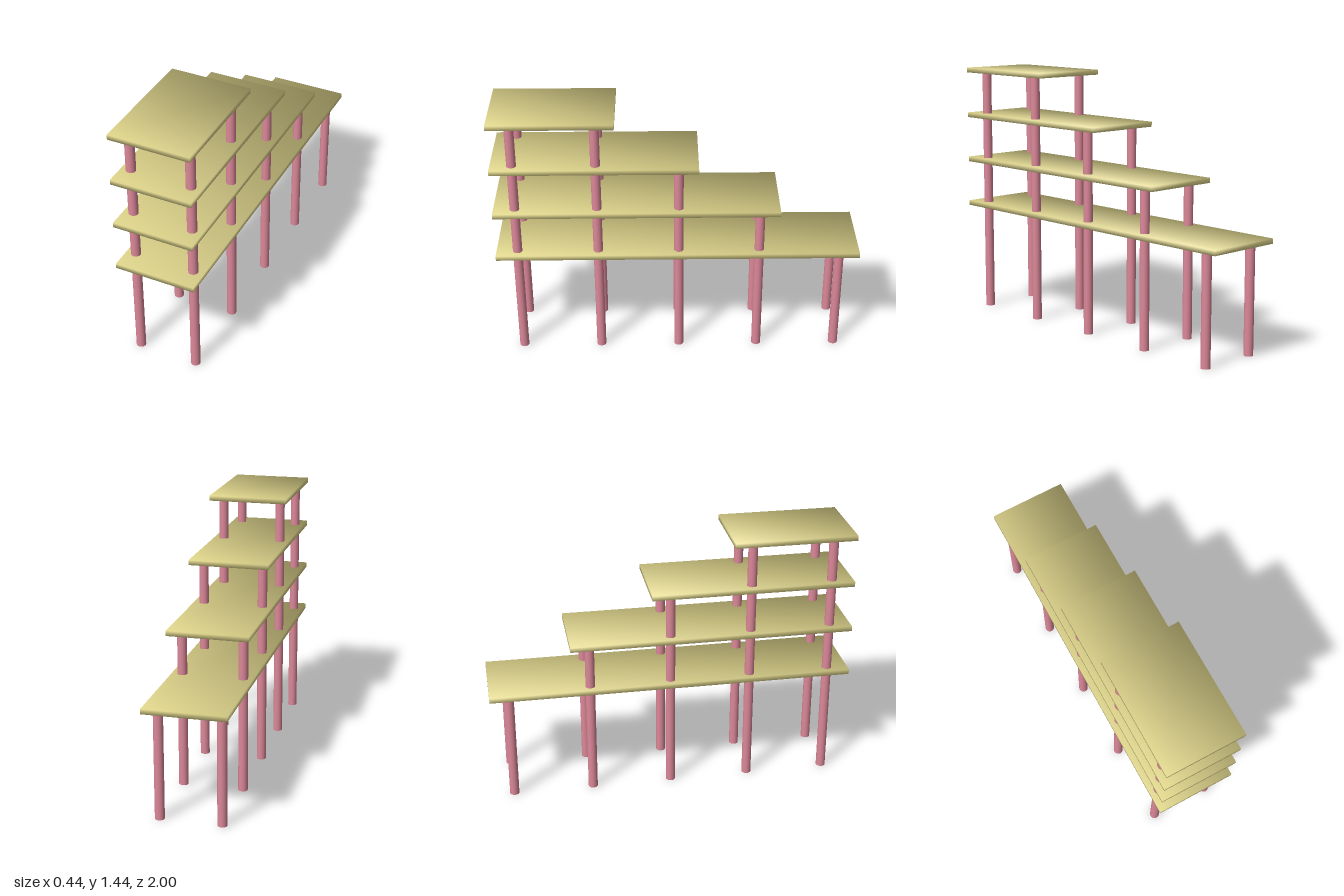
import * as THREE from 'three';

const shelfMaterial = new THREE.MeshStandardMaterial({ color: 0xe0d68c });
const postMaterial = new THREE.MeshStandardMaterial({ color: 0xdb8798 });

const WIDTH = 0.444, THICKNESS = 0.028;
const BAY = 0.4444; // spacing of the posts, and step of each tier
const TIERS = 4;
const tierY = (i) => 0.61 + i * 0.2667; // underside of tier i

// Flat slab whose normals are averaged across its shared corners
function slabGeometry(w, h, d) {
  const geometry = new THREE.BoxGeometry(w, h, d);
  const position = geometry.attributes.position;
  const n = new THREE.Vector3();
  for (let i = 0; i < position.count; i++) {
    n.fromBufferAttribute(position, i);
    n.set(Math.sign(n.x), Math.sign(n.y), Math.sign(n.z)).normalize();
    geometry.attributes.normal.setXYZ(i, n.x, n.y, n.z);
  }
  return geometry;
}

export function createModel() {
  const model = new THREE.Group();
  model.name = 'steppedShelf';

  // Shelves: flush at the front, one bay shorter at the back per tier
  for (let i = 0; i < TIERS; i++) {
    const depth = 2 - i * BAY;
    const shelf = new THREE.Mesh(slabGeometry(WIDTH, THICKNESS, depth), shelfMaterial);
    shelf.name = `shelf${i + 1}`;
    shelf.position.set(0, tierY(i) + THICKNESS / 2, 1 - depth / 2);
    model.add(shelf);
  }

  // Posts: five pairs, each rising to the underside of the highest shelf above it
  for (let row = 0; row <= TIERS; row++) {
    const height = tierY(Math.min(TIERS - 1, TIERS - row));
    const geometry = new THREE.CylinderGeometry(0.026, 0.026, height, 32);
    for (const [side, x] of [['right', -0.169], ['left', 0.164]]) {
      const post = new THREE.Mesh(geometry, postMaterial);
      post.name = `${side}Post${row + 1}`;
      post.position.set(x, height / 2, 0.884 - row * BAY);
      model.add(post);
    }
  }
  return model;
}
